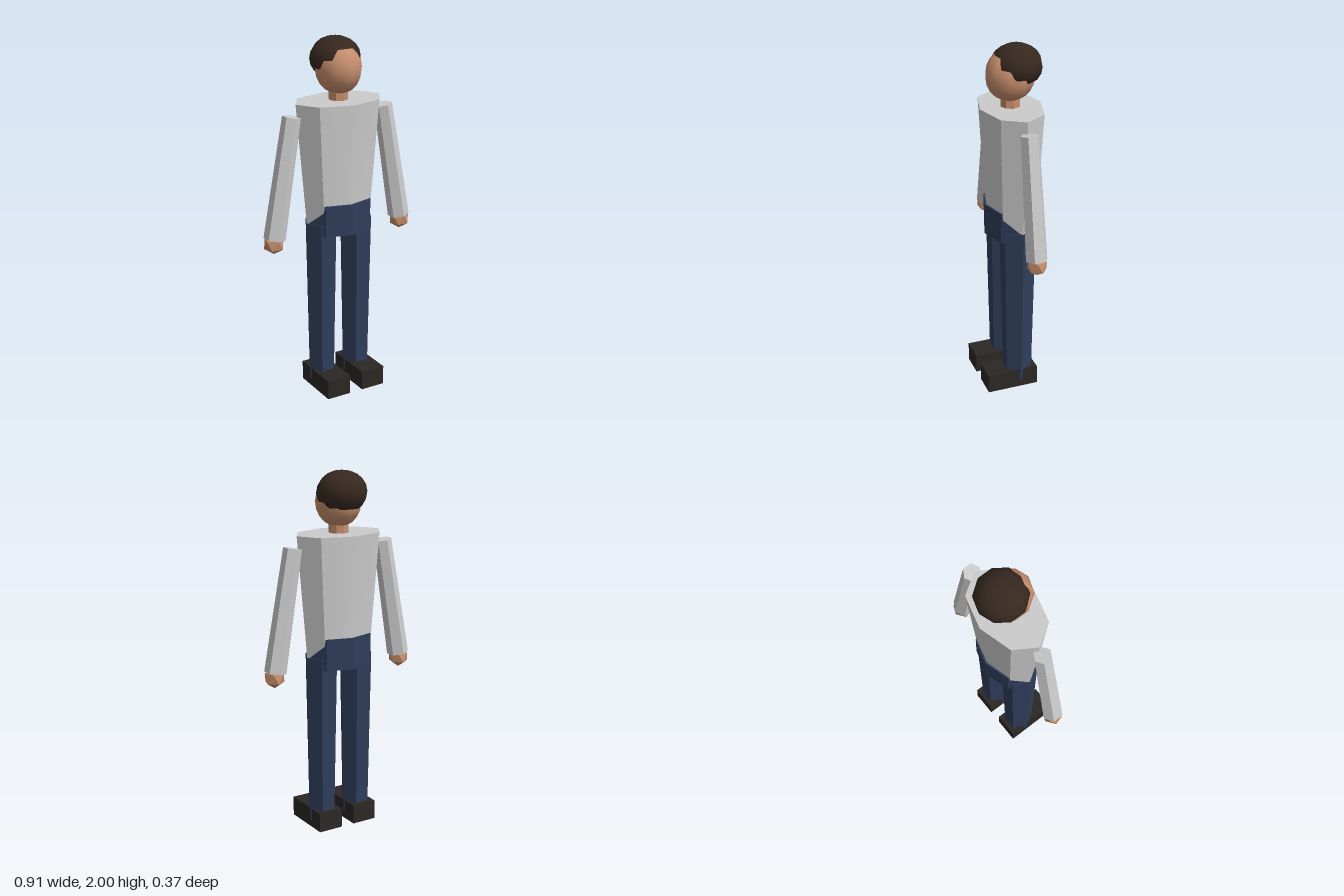
import * as THREE from 'three';
import { toCreasedNormals } from 'three/addons/utils/BufferGeometryUtils.js';

const mat = (color) => new THREE.MeshStandardMaterial({ color });
const Z = -0.012; // depth of the body axis

export function createModel() {
  const group = new THREE.Group();
  const shirt = mat(0xcccccc), skin = mat(0xc68e6c), hairMat = mat(0x36281f);
  const denim = mat(0x2f3d5a), leather = mat(0x2b2724);

  const add = (name, geometry, material, x, y, z) => {
    const mesh = new THREE.Mesh(geometry, material);
    mesh.name = name;
    mesh.position.set(x, y, z);
    group.add(mesh);
    return mesh;
  };

  // Faceted tapered prism; only shallow edges are smoothed
  const prism = (rTop, rBottom, height, sides, depthScale = 1, turn = 0) => {
    const g = new THREE.CylinderGeometry(rTop, rBottom, height, sides);
    g.rotateY(turn).scale(1, 1, depthScale);
    return toCreasedNormals(g, 0.6);
  };

  // Low-poly ellipsoid with a corner facing forward
  const ellipsoid = (rx, ry, rz) =>
    new THREE.SphereGeometry(1, 10, 10).rotateY(Math.PI / 2).scale(rx, ry, rz);

  // Trunk
  add('torso', prism(0.26, 0.196, 0.725, 8, 0.655), shirt, 0, 1.3025, Z);
  add('hips', prism(0.2, 0.2, 0.175, 8, 0.75), denim, 0, 1.0225, Z);

  // Neck and head
  add('neck', prism(0.054, 0.054, 0.12, 8), skin, 0, 1.7, Z);
  add('head', ellipsoid(0.126, 0.14, 0.136), skin, 0, 1.835, -0.01);
  add('hair', ellipsoid(0.14, 0.116, 0.14), hairMat, 0, 1.884, -0.045);

  // Limbs, mirrored
  for (const side of [1, -1]) {
    const label = side > 0 ? 'left' : 'right';

    const shoulder = new THREE.Vector3(side * 0.285, 1.603, Z);
    const wrist = new THREE.Vector3(side * 0.4, 0.942, Z);
    const length = shoulder.distanceTo(wrist);
    const mid = shoulder.clone().lerp(wrist, 0.5);
    const arm = add(label + 'Arm', prism(0.05, 0.06, length, 6), shirt, mid.x, mid.y, mid.z);
    arm.rotation.z = side * Math.atan2(0.115, 0.661);

    // Hand: icosahedron standing on one corner
    const hand = new THREE.IcosahedronGeometry(0.06, 0)
      .rotateX(-Math.atan((1 + Math.sqrt(5)) / 2));
    add(label + 'Hand', hand, skin, side * 0.405, 0.917, Z);

    add(label + 'Leg', prism(0.093, 0.076, 0.955, 6, 1.1, Math.PI / 6), denim,
      side * 0.112, 0.5175, Z);
    add(label + 'Shoe', new THREE.BoxGeometry(0.143, 0.11, 0.295), leather,
      side * 0.1115, 0.055, 0.0375);
  }

  return group;
}
